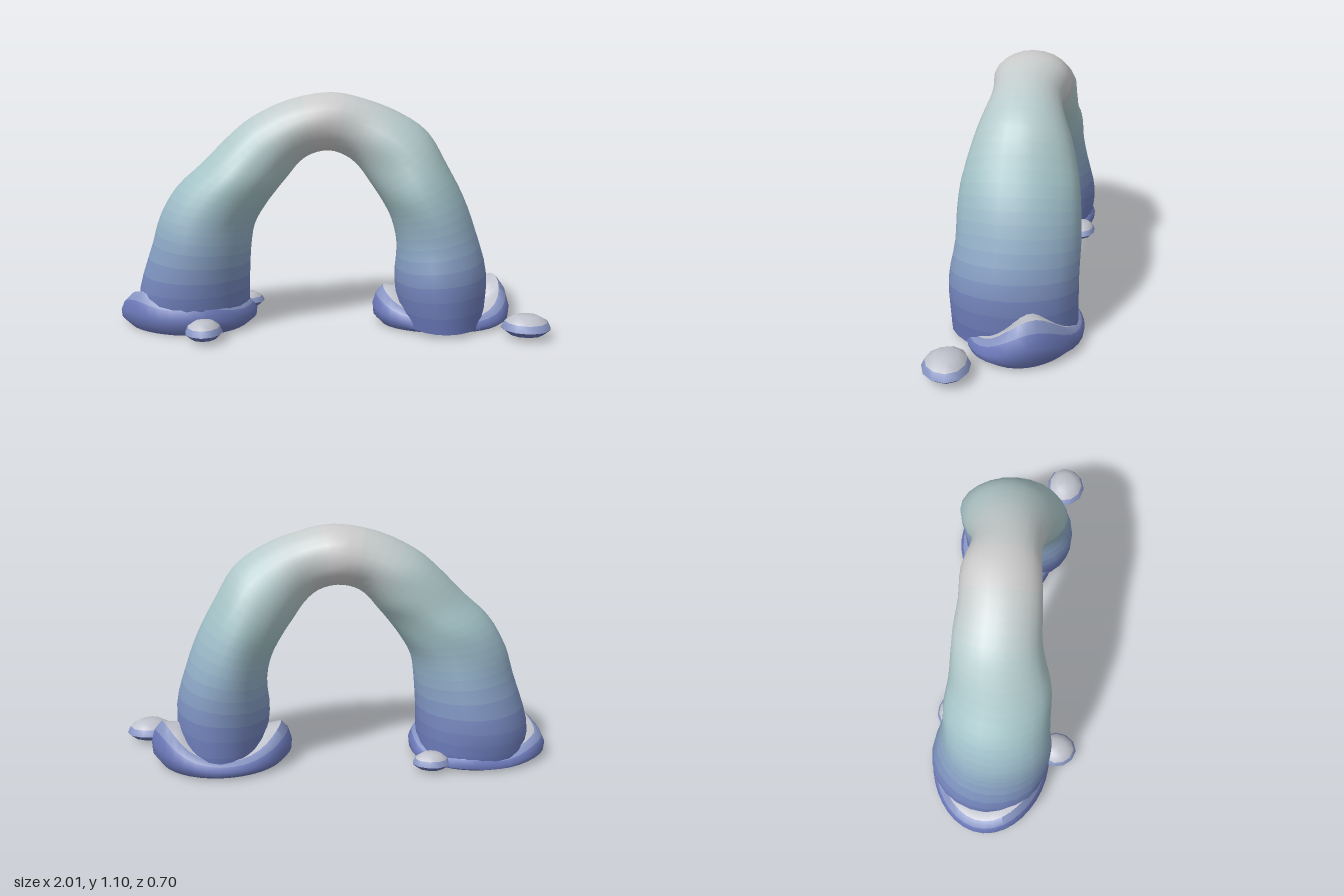
import * as THREE from 'three';
import { toCreasedNormals } from 'three/addons/utils/BufferGeometryUtils.js';

// Height-based tint: blue at the ground, teal in the middle, grey on top
const TINTS = [[0, 0x6370b4], [0.2, 0x7283bb], [0.42, 0x8eaac4], [0.65, 0xa2c2c6], [0.85, 0xb4c9ca], [0.98, 0xcccccc]];

function tintAt(y) {
  for (let i = 1; i < TINTS.length; i++) {
    const [y0, c0] = TINTS[i - 1], [y1, c1] = TINTS[i];
    if (y < y1) return new THREE.Color(c0).lerp(new THREE.Color(c1), Math.max(0, (y - y0) / (y1 - y0)));
  }
  return new THREE.Color(0xcccccc);
}

// Skin closed rings of points; each band between two rings takes its own colour
function loft(name, rings, bandColor, crease) {
  const n = rings[0].length, index = [], materials = [];
  const geo = new THREE.BufferGeometry().setFromPoints(rings.flat());
  for (let j = 0; j < rings.length - 1; j++) {
    const start = index.length;
    for (let i = 0; i < n; i++) {
      const k = (i + 1) % n;
      const a = j * n + i, b = j * n + k, c = a + n, d = b + n;
      if (!rings[j][i].equals(rings[j][k])) index.push(a, b, c);
      if (!rings[j + 1][i].equals(rings[j + 1][k])) index.push(b, d, c);
    }
    geo.addGroup(start, index.length - start, j);
    materials.push(new THREE.MeshStandardMaterial({ color: bandColor(j) }));
  }
  geo.setIndex(index);
  const mesh = new THREE.Mesh(toCreasedNormals(geo, crease), materials);
  mesh.name = name;
  return mesh;
}

// Cross-sections of the arch: outer x, y, inner x, y, back z, front z
const SECTIONS = [
  [-0.91, 0.02, -0.39, 0.02, -0.34, 0.20],
  [-0.91, 0.18, -0.39, 0.18, -0.345, 0.22],
  [-0.84, 0.40, -0.38, 0.36, -0.30, 0.22],
  [-0.80, 0.53, -0.36, 0.48, -0.28, 0.21],
  [-0.72, 0.66, -0.31, 0.57, -0.27, 0.20],
  [-0.60, 0.77, -0.25, 0.65, -0.25, 0.19],
  [-0.48, 0.89, -0.20, 0.71, -0.25, 0.16],
  [-0.37, 0.98, -0.15, 0.77, -0.245, 0.14],
  [-0.20, 1.06, -0.09, 0.81, -0.23, 0.13],
  [0.00, 1.095, -0.01, 0.825, -0.235, 0.12],
  [0.17, 1.06, 0.07, 0.80, -0.20, 0.11],
  [0.32, 1.00, 0.13, 0.75, -0.22, 0.13],
  [0.45, 0.91, 0.18, 0.68, -0.26, 0.16],
  [0.54, 0.76, 0.24, 0.59, -0.29, 0.20],
  [0.62, 0.61, 0.285, 0.50, -0.30, 0.21],
  [0.68, 0.45, 0.31, 0.38, -0.31, 0.22],
  [0.73, 0.26, 0.30, 0.22, -0.31, 0.255],
  [0.72, 0.02, 0.33, 0.02, -0.31, 0.24],
];

function makeArch() {
  const curve = (a, b) => new THREE.CatmullRomCurve3(SECTIONS.map(s => new THREE.Vector3(s[a], s[b], 0)), false, 'catmullrom', 0.5);
  const outer = curve(0, 1), inner = curve(2, 3), depth = curve(4, 5);
  const steps = 51, sides = 24, rings = [];
  for (let j = 0; j <= steps; j++) {
    const t = j / steps, o = outer.getPoint(t), p = inner.getPoint(t), d = depth.getPoint(t);
    const mid = o.clone().add(p).multiplyScalar(0.5).setZ((d.x + d.y) / 2);
    const half = o.clone().sub(p).multiplyScalar(0.5);
    rings.push(Array.from({ length: sides }, (_, i) => {
      const a = i / sides * Math.PI * 2;
      // gentle lumps on the front and back faces
      const lump = 1 + 0.025 * Math.sin(3 * a + 11 * t) * Math.sin(23 * t + a) * Math.sin(a) ** 2;
      return mid.clone().addScaledVector(half, Math.cos(a) * lump)
        .add(new THREE.Vector3(0, 0, Math.sin(a) * (d.y - d.x) / 2 * lump));
    }));
  }
  const cap = ring => {
    const c = ring.reduce((s, p) => s.add(p), new THREE.Vector3()).divideScalar(sides);
    return ring.map(() => c.clone());
  };
  const all = [cap(rings[0]), ...rings, cap(rings[steps])];
  return loft('arch', all, j => tintAt((all[j][0].y + all[j][12].y + all[j + 1][0].y + all[j + 1][12].y) / 4), 1.1);
}

// Rounded mound: profile rows are [radius factor, height factor]; height varies by angle from +z towards +x
function makeMound(name, x, z, rx, rz, height, profile, sides, colors) {
  const rings = profile.map(([r, h]) => Array.from({ length: sides }, (_, i) => {
    const a = i / sides * Math.PI * 2;
    const w = r * (1 + 0.025 * Math.sin(3 * a + x * 9));
    return new THREE.Vector3(x + Math.sin(a) * rx * w, h * height(a), z + Math.cos(a) * rz * w);
  }));
  return loft(name, rings, j => colors[j], 0.9);
}

const BLUE = 0x6b78b8, LIGHT = 0x8794c2, GREY = 0xbfc1cb;
const SKIRT = [[0, 0], [0.87, 0], [0.99, 0.25], [1, 0.5], [0.95, 0.8], [0.85, 1], [0.7, 0.96], [0, 0.9]];
const SKIRT_COLORS = [BLUE, BLUE, BLUE, BLUE, LIGHT, GREY, GREY];
const PEBBLE = [[0, 0.18], [0.72, 0.18], [1, 0.42], [0.86, 0.72], [0.5, 0.95], [0, 1]];
const PEBBLE_COLORS = [BLUE, BLUE, LIGHT, GREY, GREY];

// Smooth bump centred on an angle
const bump = (a, centre, width) => Math.exp(-((1 - Math.cos(a - centre)) / width));

export function createModel() {
  const model = new THREE.Group();
  model.name = 'rockArch';
  model.add(makeArch());

  // Skirts of drifted rock round the two feet
  const leftHeight = a => 0.05 + 0.165 * bump(a, 1.85, 0.3) + 0.125 * bump(a, -1.6, 0.4);
  const rightHeight = a => 0.05 + 0.12 * bump(a, -0.7, 0.9) + 0.05 * bump(a, 1.0, 0.4) + 0.012 * Math.sin(5 * a);
  model.add(makeMound('leftFootMound', 0.525, -0.075, 0.325, 0.255, leftHeight, SKIRT, 36, SKIRT_COLORS));
  model.add(makeMound('rightFootMound', -0.675, -0.065, 0.325, 0.285, rightHeight, SKIRT, 36, SKIRT_COLORS));

  // Loose pebbles: x, z, x radius, z radius, height
  [
    [0.885, 0.2, 0.113, 0.1, 0.105],
    [-0.57, 0.26, 0.085, 0.09, 0.095],
    [-0.425, -0.285, 0.085, 0.07, 0.085],
  ].forEach(([x, z, rx, rz, h], i) => {
    model.add(makeMound('pebble' + (i + 1), x, z, rx, rz, () => h, PEBBLE, 11, PEBBLE_COLORS));
  });
  return model;
}
